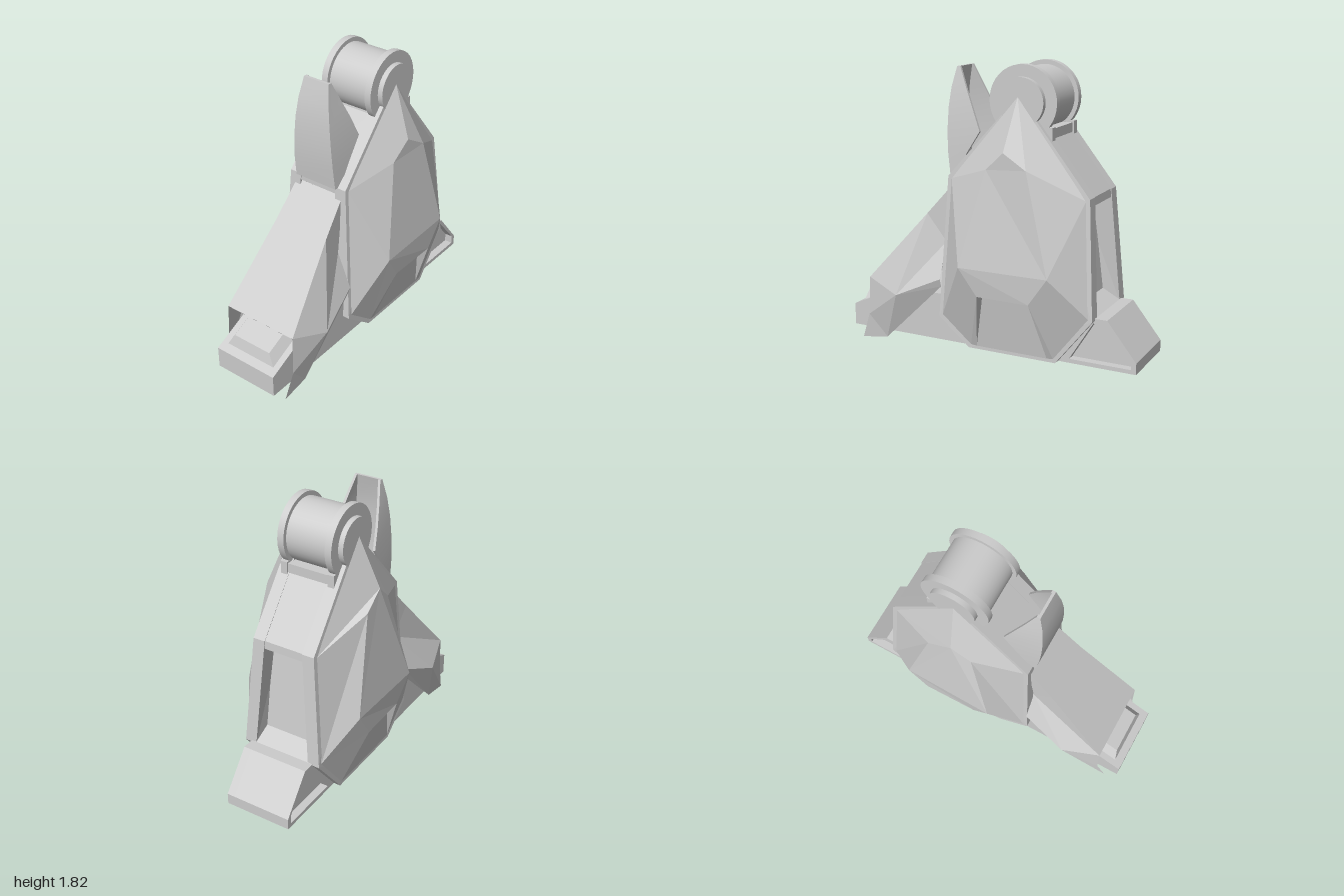
import * as THREE from 'three';
import { toCreasedNormals } from 'three/addons/utils/BufferGeometryUtils.js';

const mat = new THREE.MeshStandardMaterial({ color: 0xcccccc, flatShading: true });
const thin = new THREE.MeshStandardMaterial({ color: 0xcccccc, flatShading: true, side: THREE.DoubleSide });
const smooth = new THREE.MeshStandardMaterial({ color: 0xcccccc, side: THREE.DoubleSide });

function add(parent, name, geo, m = mat) {
  const mesh = new THREE.Mesh(geo, m);
  mesh.name = name;
  parent.add(mesh);
  return mesh;
}

// Side profile of [z, y] points, extruded across x from x0 to x1
function slab(profile, x0, x1, hole) {
  const shape = new THREE.Shape(profile.map(p => new THREE.Vector2(...p)));
  if (hole) shape.holes.push(new THREE.Path(hole.map(p => new THREE.Vector2(...p))));
  const geo = new THREE.ExtrudeGeometry(shape, { depth: x1 - x0, bevelEnabled: false });
  return geo.rotateY(-Math.PI / 2).translate(x1, 0, 0);
}

// The body narrows between the ankle and the heel height
const lean = y => 0.058 * THREE.MathUtils.clamp((y - 0.37) / 0.72, 0, 1);
function leanIn(geo) {
  const p = geo.attributes.position;
  for (let i = 0; i < p.count; i++) p.setX(i, p.getX(i) - Math.sign(p.getX(i)) * lean(p.getY(i)));
  geo.computeVertexNormals();
  return geo;
}

function fromTriangles(pos) {
  const geo = new THREE.BufferGeometry();
  geo.setAttribute('position', new THREE.Float32BufferAttribute(pos, 3));
  geo.computeVertexNormals();
  return geo;
}

// Flat facets from named corners; side = -1 mirrors them across x
function facets(corners, faces, side) {
  const pos = [];
  for (const face of faces) {
    const pts = face.split(' ').map(k => corners[k]);
    if (side < 0) pts.reverse();
    for (let i = 1; i < pts.length - 1; i++)
      for (const p of [pts[0], pts[i], pts[i + 1]]) pos.push(p[0] * side, p[1], p[2]);
  }
  return fromTriangles(pos);
}

// Closed cross-sections joined in a row, with end caps
function loft(sections) {
  const pos = [], n = sections[0].length;
  const tri = (a, b, c) => pos.push(...a, ...b, ...c);
  const cap = (S, flip) => {
    for (let i = 0; i < n / 2 - 1; i++) {
      const q = [S[i], S[i + 1], S[n - 2 - i], S[n - 1 - i]];
      if (flip) q.reverse();
      tri(q[0], q[1], q[2]);
      tri(q[0], q[2], q[3]);
    }
  };
  for (let s = 0; s < sections.length - 1; s++)
    for (let i = 0; i < n; i++) {
      const j = (i + 1) % n, A = sections[s], B = sections[s + 1];
      tri(A[i], A[j], B[j]);
      tri(A[i], B[j], B[i]);
    }
  cap(sections[0], true);
  cap(sections[sections.length - 1], false);
  return fromTriangles(pos);
}

function buildSole(foot) {
  const profile = [[-0.97, 0.08], [0.97, 0.08], [0.97, 0.22], [0.62, 0.38], [-0.786, 0.38], [-0.97, 0.15]];
  const heelHole = [[-0.55, 0.105], [-0.94, 0.105], [-0.94, 0.16], [-0.78, 0.35], [-0.7, 0.35]];
  add(foot, 'sole', slab(profile, -0.165, 0.165));
  add(foot, 'soleSideLeft', slab(profile, 0.165, 0.217, heelHole));
  add(foot, 'soleSideRight', slab(profile, -0.217, -0.165, heelHole));

  // Raised pad lying on the sloping toe tip
  const rect = (x, z, y) => [[-x, y, z], [x, y, z], [x, y, -z], [-x, y, -z]];
  const pad = add(foot, 'toePad', loft([rect(0.18, 0.15, -0.02), rect(0.18, 0.15, 0), rect(0.135, 0.1, 0.065)]));
  pad.position.set(0, 0.3, 0.785);
  pad.rotation.x = Math.atan2(0.16, 0.35);
}

function buildBody(foot) {
  // Central block, flush with the side frames, open at the heel and behind the toe
  add(foot, 'core', leanIn(slab([
    [0.262, 1.135], [-0.06, 1.48], [-0.37, 1.44], [-0.655, 1.08], [-0.658, 1.03], [-0.54, 0.98],
    [-0.6, 0.44], [-0.71, 0.38], [-0.5, 0.1], [0.1, 0.1], [0.1, 1.09], [0.262, 1.09],
  ], -0.2, 0.2)));

  const outline = [[-0.205, 1.65], [-0.66, 1.08], [-0.71, 0.37], [-0.48, 0.08], [0.1, 0.08], [0.308, 0.25], [0.265, 1.135]];
  const corners = {
    N: [0.335, 1.33, -0.17], P: [0.345, 1.24, -0.32], Q: [0.396, 0.63, -0.48],
    R: [0.405, 0.63, 0.094], S: [0.32, 1.22, -0.05],
    T1: [0.385, 0.46, -0.02], T2: [0.39, 0.46, -0.36],
    I1: [0.32, 0.45, -0.025], I2: [0.32, 0.45, -0.345],
    B1: [0.262, 0.1, 0.045], B2: [0.262, 0.1, -0.425],
  };
  outline.forEach(([z, y], i) => {
    const cy = 0.75 + (y - 0.75) * 0.965;
    corners['F' + i] = [0.263 - lean(cy), cy, -0.2 + (z + 0.2) * 0.95];
  });
  corners.F0 = [0.216, 1.64, -0.205];
  const faces = ['F0 F6 S', 'F0 S N', 'F6 F5 R S', 'S R Q P N', 'F0 N P F1', 'F1 P Q F2',
    'R F5 F4 T1', 'R T1 T2 Q', 'Q T2 F3 F2',
    'T1 I1 I2 T2', 'T1 F4 B1 I1', 'T2 I2 B2 F3', 'I1 B1 B2 I2'];

  for (const side of [1, -1]) {
    const label = side > 0 ? 'Left' : 'Right';
    const x = [0.185 * side, 0.262 * side].sort((a, b) => a - b);
    add(foot, 'sideFrame' + label, leanIn(slab(outline, ...x)));
    add(foot, 'sideArmor' + label, facets(corners, faces, side), thin);
  }
}

function buildToe(foot) {
  const corners = {
    a: [0.17, 1.08, 0.25], k: [0.187, 0.88, 0.427], b: [0.25, 0.43, 0.825], c: [0.175, 0.71, 0.3],
    d: [0.265, 0.49, 0.3], e: [0.318, 0.36, 0.59], i: [0.255, 0.18, 0.835],
    f: [0.24, 0.01, 0.895], g: [0.24, 0.04, 0.71], h: [0.25, 0.44, 0.3],
  };
  const faces = ['a c k', 'k c e b', 'c d e', 'b e i', 'i e g f', 'e d h g'];
  for (const side of [1, -1])
    add(foot, side > 0 ? 'toeCheekLeft' : 'toeCheekRight', facets(corners, faces, side), thin);

  // Top plate of the toe, widening towards the front
  const row = ([x, y, z]) => [[-x, y, z], [x, y, z], [x - 0.01, y - 0.012, z - 0.01], [-x + 0.01, y - 0.012, z - 0.01]];
  add(foot, 'toeTop', loft([corners.a, corners.k, corners.b].map(row)), thin);
}

function buildShield(foot) {
  // Each row: y, front half width, front z, back half width, back z
  const rows = [
    [1.135, 0.145, 0.285, 0.15, 0.24], [1.28, 0.142, 0.302, 0.155, 0.16], [1.41, 0.134, 0.307, 0.157, 0.075],
    [1.54, 0.123, 0.304, 0.14, 0.13], [1.66, 0.108, 0.291, 0.116, 0.185], [1.785, 0.088, 0.262, 0.088, 0.24],
  ];
  const shield = loft(rows.map(([y, fx, fz, bx, bz]) => {
    const t = 0.016, iz = Math.max(fz - t, bz);
    return [[-bx, y, bz], [-fx, y, fz], [fx, y, fz], [bx, y, bz],
      [bx - t, y, bz], [fx - t, y, iz], [-fx + t, y, iz], [-bx + t, y, bz]];
  }));
  add(foot, 'ankleShield', toCreasedNormals(shield, 0.5), smooth);
}

function buildRoller(foot) {
  const ankle = new THREE.Group();
  ankle.name = 'ankleRoller';
  ankle.position.set(0, 1.61, -0.22);
  foot.add(ankle);
  const disc = (name, r, width, x) => {
    add(ankle, name, new THREE.CylinderGeometry(r, r, width, 40).rotateZ(Math.PI / 2), smooth).position.x = x;
  };
  disc('drum', 0.19, 0.3, 0);
  for (const side of [1, -1]) {
    disc('flange', 0.216, 0.042, 0.157 * side);
    disc('hub', 0.145, 0.04, 0.19 * side);
    // Foot of the flange where it meets the core
    add(ankle, 'flangeFoot', new THREE.BoxGeometry(0.042, 0.1, 0.34)).position.set(0.157 * side, -0.19, -0.02);
  }
  add(ankle, 'cradle', new THREE.BoxGeometry(0.3, 0.08, 0.32)).position.set(0, -0.19, -0.02);
}

export function createModel() {
  const model = new THREE.Group();
  model.name = 'mechanicalFoot';
  const foot = new THREE.Group();
  foot.name = 'foot';
  foot.rotation.y = -0.256;
  foot.position.set(-0.025, 0, -0.005);
  model.add(foot);
  buildSole(foot);
  buildBody(foot);
  buildToe(foot);
  buildShield(foot);
  buildRoller(foot);
  return model;
}
